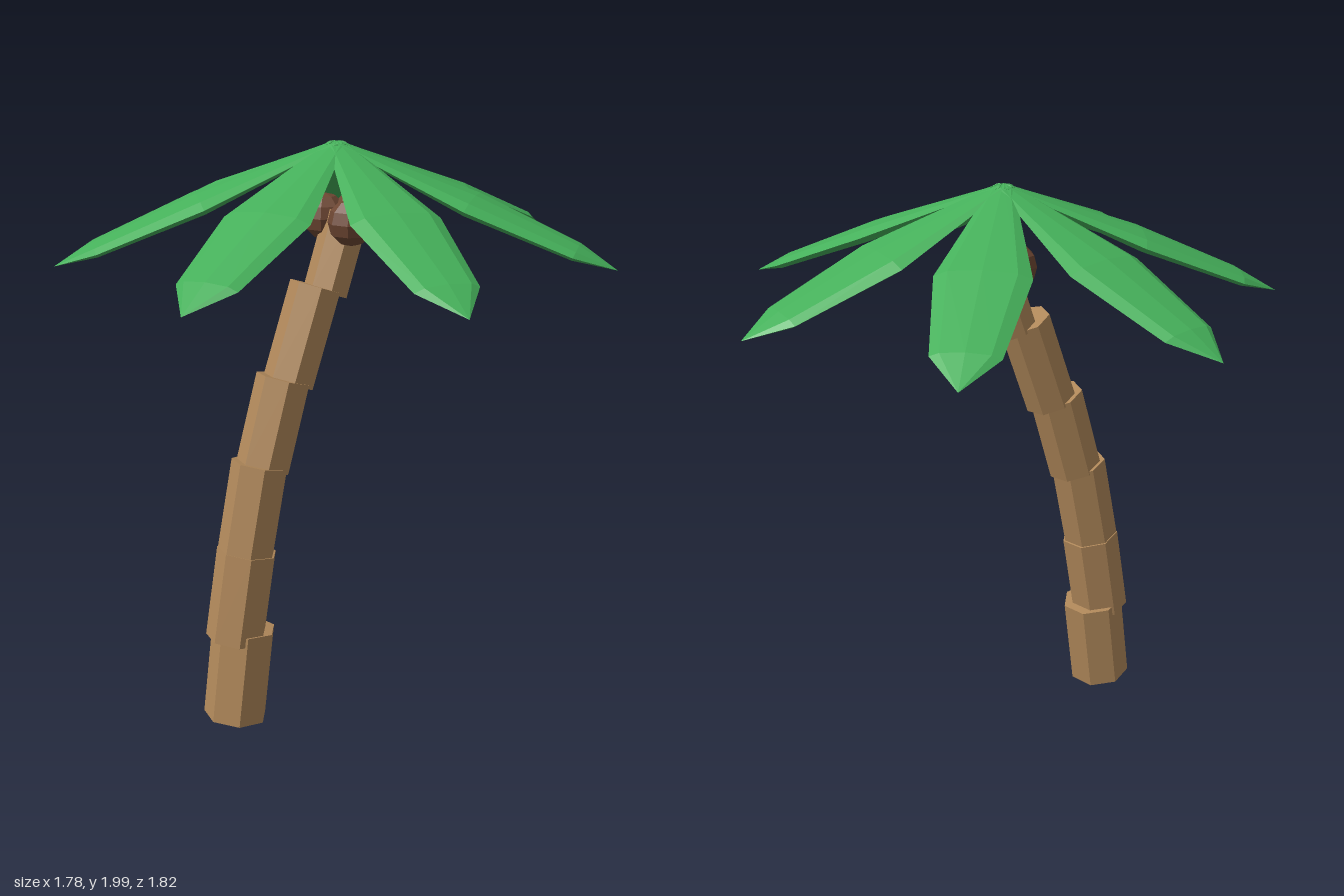
import * as THREE from 'three';

// split faces so every facet shades flat
function faceted(geometry) {
  const g = geometry.index ? geometry.toNonIndexed() : geometry;
  g.computeVertexNormals();
  return g;
}

export function createModel() {
  const model = new THREE.Group();
  model.name = 'palmTree';

  const bark = new THREE.MeshStandardMaterial({ color: 0xb0885a });
  bark.name = 'bark';
  const leafGreen = new THREE.MeshStandardMaterial({ color: 0x45b05a });
  leafGreen.name = 'leafGreen';
  const shell = new THREE.MeshStandardMaterial({ color: 0x6e4733 });
  shell.name = 'coconutShell';

  const add = (parent, name, geometry, material) => {
    const mesh = new THREE.Mesh(geometry, material);
    mesh.name = name;
    parent.add(mesh);
    return mesh;
  };

  // trunk: overlapping seven-sided segments, each leaning further
  // [bottom x, bottom y, top x, top y, radius]
  const segments = [
    [-0.50, 0.018, -0.455, 0.347, 0.112],
    [-0.49, 0.315, -0.434, 0.631, 0.105],
    [-0.44, 0.615, -0.372, 0.938, 0.1],
    [-0.36, 0.92, -0.27, 1.22, 0.096],
    [-0.25, 1.2, -0.135, 1.517, 0.091],
    [-0.095, 1.49, -0.005, 1.745, 0.079],
  ];
  const trunk = new THREE.Group();
  trunk.name = 'trunk';
  model.add(trunk);
  segments.forEach(([x0, y0, x1, y1, r], i) => {
    const dx = x1 - x0, dy = y1 - y0;
    const g = new THREE.CylinderGeometry(r, r, Math.hypot(dx, dy), 7);
    g.rotateY(Math.PI);
    g.rotateZ(-Math.atan2(dx, dy));
    g.translate((x0 + x1) / 2, (y0 + y1) / 2, 0);
    add(trunk, 'trunkSegment' + (i + 1), faceted(g), bark);
  });

  // coconuts clustered under the crown
  const coconuts = new THREE.Group();
  coconuts.name = 'coconuts';
  model.add(coconuts);
  [[-0.05, 1.735, 0.08], [-0.05, 1.735, -0.07], [0.03, 1.745, 0]].forEach((p, i) => {
    const g = new THREE.SphereGeometry(0.079, 8, 6);
    add(coconuts, 'coconut' + (i + 1), faceted(g), shell).position.set(...p);
  });

  // leaf: flattened eight-sided spindle pointing outwards and down
  const profile = [[0, 0], [0.034, 0], [0.153, 0.49], [0.107, 0.86], [0, 1.007]]
    .map(([w, s]) => new THREE.Vector2(w, s));
  const leaf = new THREE.LatheGeometry(profile, 8);
  leaf.scale(0.2, 1, 1);
  leaf.rotateZ(-Math.PI / 2 - Math.atan2(0.375, 0.935));
  const leafGeometry = faceted(leaf);

  const crown = new THREE.Group();
  crown.name = 'crown';
  crown.position.set(-0.05, 1.987, 0);
  model.add(crown);
  for (let i = 0; i < 7; i++) {
    add(crown, 'leaf' + (i + 1), leafGeometry, leafGreen).rotation.y = (i * Math.PI * 2) / 7;
  }

  return model;
}
